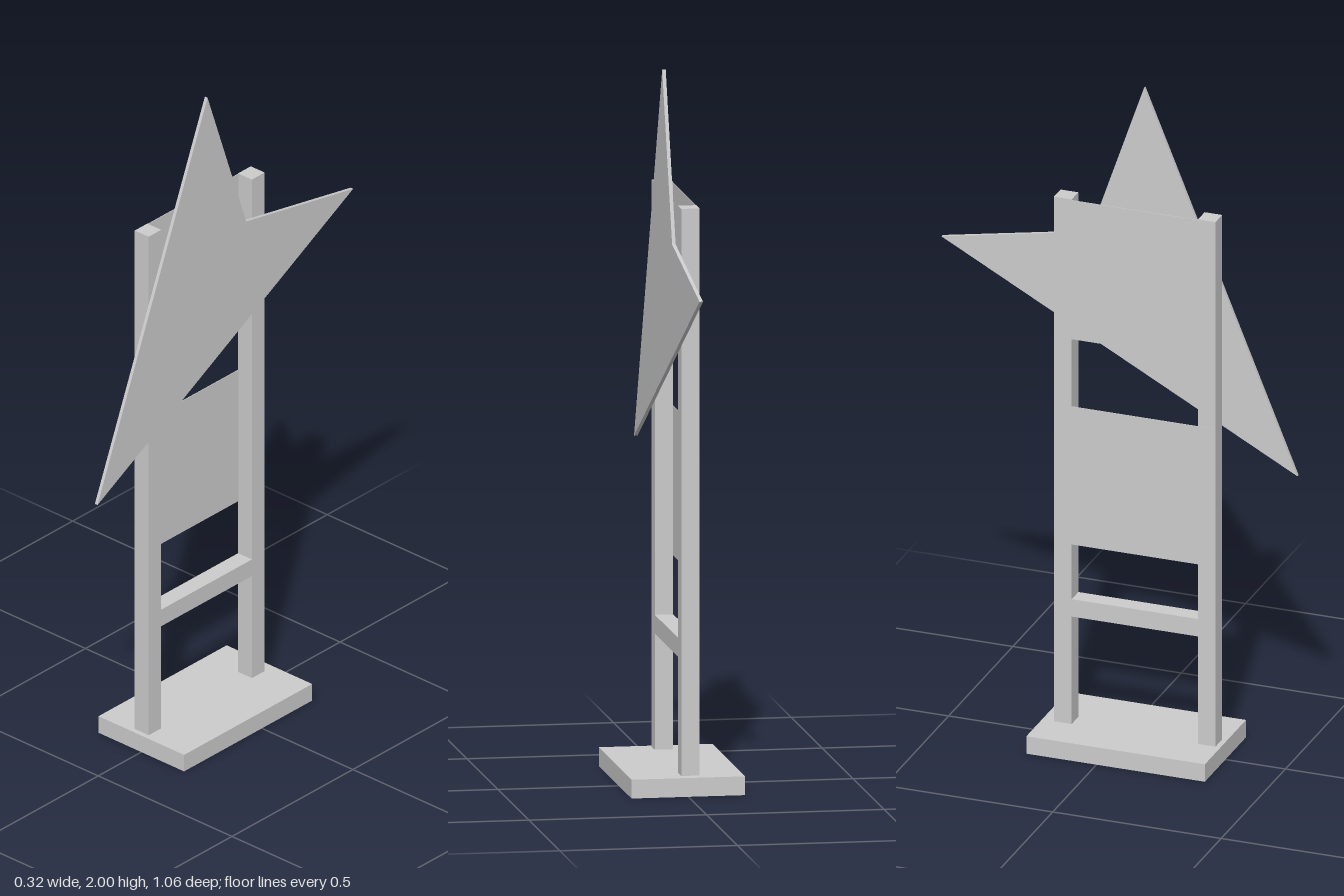
import * as THREE from 'three';

export function createModel() {
  const model = new THREE.Group();
  const material = new THREE.MeshStandardMaterial({ color: 0xcccccc, flatShading: true });

  const add = (name, geometry) => {
    const mesh = new THREE.Mesh(geometry, material);
    mesh.name = name;
    model.add(mesh);
    return mesh;
  };

  // Box given by its [min, max] range on each axis
  const box = (name, [x0, x1], [y0, y1], [z0, z1]) =>
    add(name, new THREE.BoxGeometry(x1 - x0, y1 - y0, z1 - z0))
      .position.set((x0 + x1) / 2, (y0 + y1) / 2, (z0 + z1) / 2);

  // Foot slab
  box('base', [-0.16, 0.16], [0, 0.053], [-0.208, 0.322]);

  // Two uprights joined by a rung
  const postX = [-0.038, 0.014];
  box('frontPost', postX, [0.053, 1.65], [0.255, 0.307]);
  box('backPost', postX, [0.053, 1.65], [-0.173, -0.12]);
  box('rung', postX, [0.38, 0.433], [-0.12, 0.255]);

  // Thin panels flush with the outer side of the posts
  const panelX = [-0.039, -0.037];
  box('lowerPanel', panelX, [0.6, 1.02], [-0.12, 0.307]);
  box('upperPanel', panelX, [1.225, 1.648], [-0.12, 0.307]);

  // Pointed sign plate, drawn as (-z, y) and turned to face sideways
  const outline = [[-0.53, 0.89], [0.527, 1.45], [0.085, 1.535], [-0.075, 2]];
  const shape = new THREE.Shape(outline.map(([x, y]) => new THREE.Vector2(x, y)));
  const plate = add('pointedPlate',
    new THREE.ExtrudeGeometry(shape, { depth: 0.01, bevelEnabled: false }));
  plate.rotation.y = Math.PI / 2;
  plate.position.x = 0.0145;

  return model;
}
